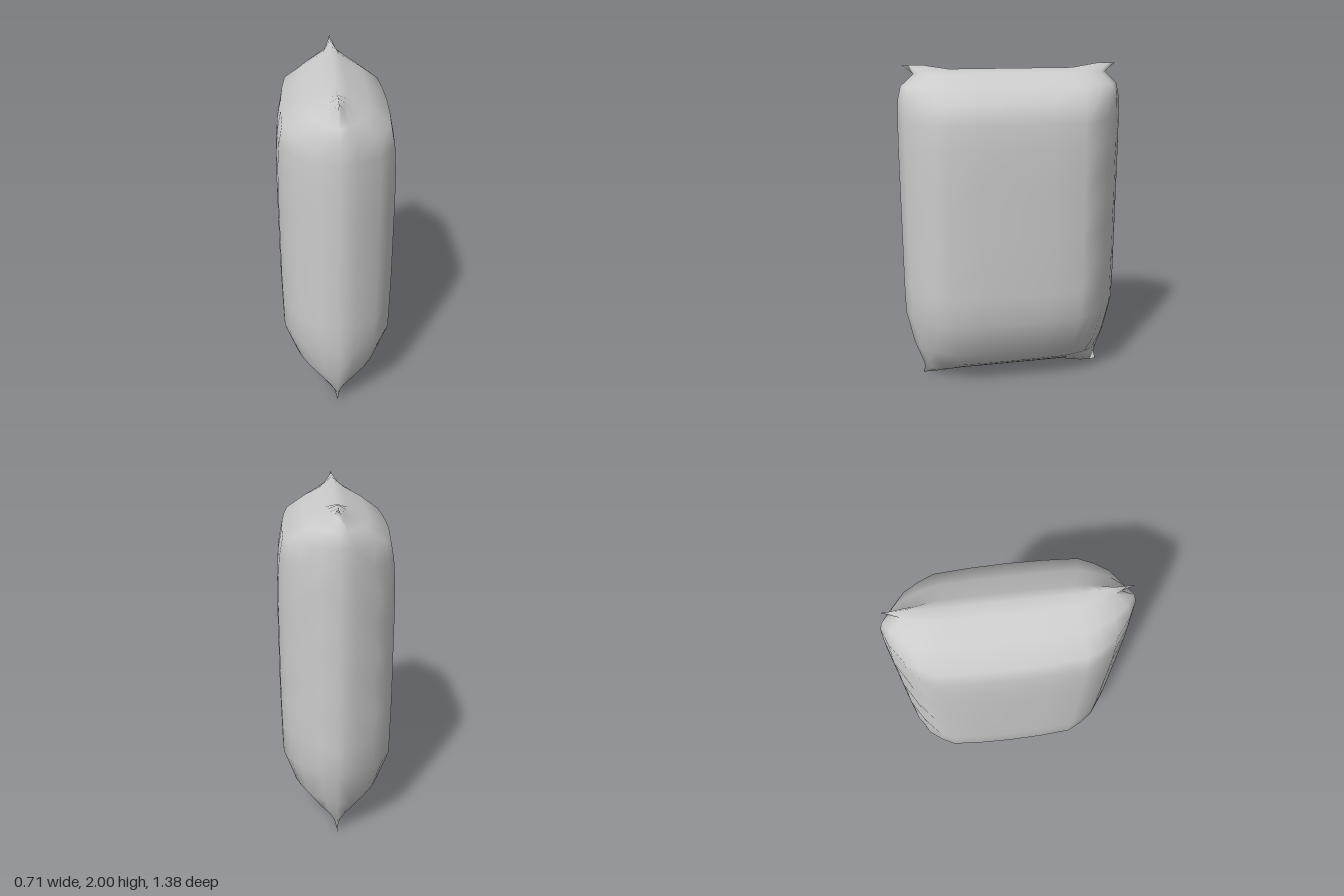
import * as THREE from 'three';
import { mergeVertices } from 'three/addons/utils/BufferGeometryUtils.js';

// Rows from bottom to top: [height, half width, share of full thickness]
const ROWS = [
  [0.02, 0.59, 0], [0.06, 0.575, 0.17], [0.11, 0.59, 0.4], [0.24, 0.637, 0.76],
  [0.46, 0.685, 0.98], [0.64, 0.688, 0.99], [0.82, 0.688, 1], [1.0, 0.688, 1],
  [1.18, 0.688, 1], [1.36, 0.688, 1], [1.54, 0.688, 0.99], [1.68, 0.685, 0.96],
  [1.8, 0.68, 0.89], [1.88, 0.66, 0.54], [1.95, 0.583, 0.18], [2.0, 0.647, 0],
];
// Columns from the middle to the side seam: [share of half width, thickness]
const HALF = [[0, 0.347], [0.3, 0.342], [0.58, 0.328], [0.7, 0.285], [0.82, 0.225], [0.94, 0.1], [1, 0]];
const COLS = [...HALF.slice(1).reverse().map(([u, t]) => [-u, t]), ...HALF];

function cushionPoint(i, j, side) {
  let [y, w, share] = ROWS[i];
  const [u, t] = COLS[j];
  const z = u * w;
  let thick = t * share;
  // seams run straight between the raised or drooping corner ears
  const ear = THREE.MathUtils.smoothstep(Math.abs(u), 0.58, 0.82);
  if (i === ROWS.length - 1) y = 1.975 + 0.025 * ear;
  if (i === 0) y = 0.026 - (u < 0 ? 0.026 : 0.006) * ear;
  // soft puckers along the back seam
  if (u < -0.8 && i > 3 && i < 12 && i % 2) thick *= 0.9;
  // the cushion is slightly skewed from back to front
  return [-0.006 + 0.06 * z + side * thick, y, z];
}

function cushionGeometry() {
  const pos = [], idx = [];
  const n = COLS.length;
  for (const side of [1, -1]) {
    const base = pos.length / 3;
    ROWS.forEach((_, i) => COLS.forEach((_, j) => pos.push(...cushionPoint(i, j, side))));
    for (let i = 0; i < ROWS.length - 1; i++) {
      for (let j = 0; j < n - 1; j++) {
        const a = base + i * n + j, b = a + n, c = a + 1, d = b + 1;
        if (side > 0) idx.push(a, b, c, b, d, c);
        else idx.push(a, c, b, b, c, d);
      }
    }
  }
  const geo = new THREE.BufferGeometry();
  geo.setAttribute('position', new THREE.Float32BufferAttribute(pos, 3));
  geo.setIndex(idx);
  // join both faces at the seam so the shading runs softly around it
  const joined = mergeVertices(geo, 1e-4);
  joined.computeVertexNormals();
  return joined;
}

export function createModel() {
  const group = new THREE.Group();
  group.name = 'pillow';
  const cushion = new THREE.Mesh(
    cushionGeometry(),
    new THREE.MeshStandardMaterial({ color: 0xcccccc, side: THREE.DoubleSide })
  );
  cushion.name = 'cushion';
  group.add(cushion);
  return group;
}
